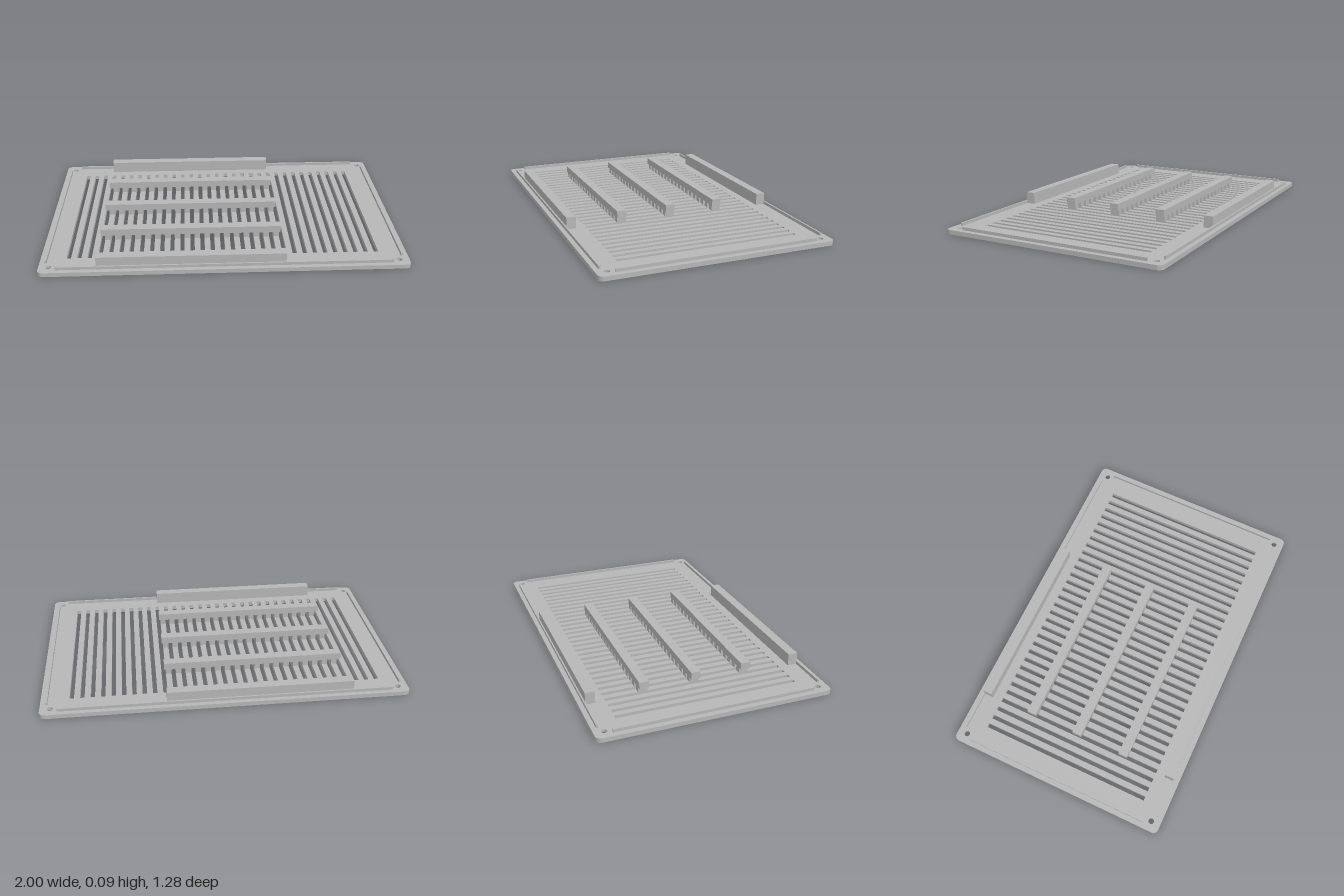
import * as THREE from 'three';

const PLATE = 0.024, POCKET = 0.012, RIM = 0.041, BAR = 0.091, FOOT = 0.052;
const SLOTS = 31, PITCH = 0.0561, FIRST = -0.848, SLOT_W = 0.024, SLOT_L = 1.0;
const BAR_X0 = -0.69, BAR_X1 = 0.327, BAR_W = 0.053;

export function createModel() {
  const group = new THREE.Group();
  const grey = new THREE.MeshStandardMaterial({ color: 0xb6b6b6 });
  grey.name = 'grey';

  // Box given by its limits on each axis
  const box = (name, x0, x1, y0, y1, z0, z1) => {
    const mesh = new THREE.Mesh(new THREE.BoxGeometry(x1 - x0, y1 - y0, z1 - z0), grey);
    mesh.position.set((x0 + x1) / 2, (y0 + y1) / 2, (z0 + z1) / 2);
    mesh.name = name;
    group.add(mesh);
  };

  // Rounded plate layer with ventilation slots and corner holes
  const layer = (name, y0, y1, holeRadius, sides) => {
    const w = 1, d = 0.64, r = 0.03;
    const shape = new THREE.Shape();
    shape.absarc(w - r, d - r, r, 0, Math.PI / 2);
    shape.absarc(-w + r, d - r, r, Math.PI / 2, Math.PI);
    shape.absarc(-w + r, -d + r, r, Math.PI, Math.PI * 1.5);
    shape.absarc(w - r, -d + r, r, Math.PI * 1.5, Math.PI * 2);
    for (let i = 0; i < SLOTS; i++) {
      const x = FIRST + i * PITCH, h = SLOT_W / 2, l = SLOT_L / 2;
      shape.holes.push(new THREE.Path([[-h, -l], [-h, l], [h, l], [h, -l]]
        .map(([a, b]) => new THREE.Vector2(x + a, b))));
    }
    for (const x of [-0.945, 0.945]) for (const y of [-0.585, 0.585]) {
      const pts = [];
      for (let k = 0; k < sides; k++) {
        const a = -k / sides * Math.PI * 2;
        pts.push(new THREE.Vector2(x + Math.cos(a) * holeRadius, y + Math.sin(a) * holeRadius));
      }
      shape.holes.push(new THREE.Path(pts));
    }
    const geo = new THREE.ExtrudeGeometry(shape, { depth: y1 - y0, bevelEnabled: false, curveSegments: 6 });
    geo.rotateX(-Math.PI / 2);
    const mesh = new THREE.Mesh(geo, grey);
    mesh.position.y = y0;
    mesh.name = name;
    group.add(mesh);
  };
  layer('lowerPlate', 0, POCKET, 0.03, 6);
  layer('upperPlate', POCKET, PLATE, 0.016, 12);

  // Thin locating ribs along the edges
  for (const s of [-1, 1]) {
    box('longRib', -0.908, 0.908, PLATE, RIM, s * 0.609 - 0.005, s * 0.609 + 0.005);
    box('shortRib', s * 0.966 - 0.005, s * 0.966 + 0.005, PLATE, RIM, -0.548, 0.548);
  }

  // Solid outer bars
  for (const z of [-0.579, 0.579])
    box('outerBar', BAR_X0, BAR_X1, PLATE, BAR, z - BAR_W / 2, z + BAR_W / 2);

  // Inner bars raised on a foot at every slat
  for (const z of [-0.29, 0, 0.29]) {
    const z0 = z - BAR_W / 2, z1 = z + BAR_W / 2;
    box('innerBar', BAR_X0, BAR_X1, FOOT, BAR, z0, z1);
    for (let i = 3; i <= 20; i++) {
      const x = FIRST + (i + 0.5) * PITCH, h = (PITCH - SLOT_W) / 2;
      box('barFoot', x - h, x + h, PLATE, FOOT, z0, z1);
    }
  }
  return group;
}
